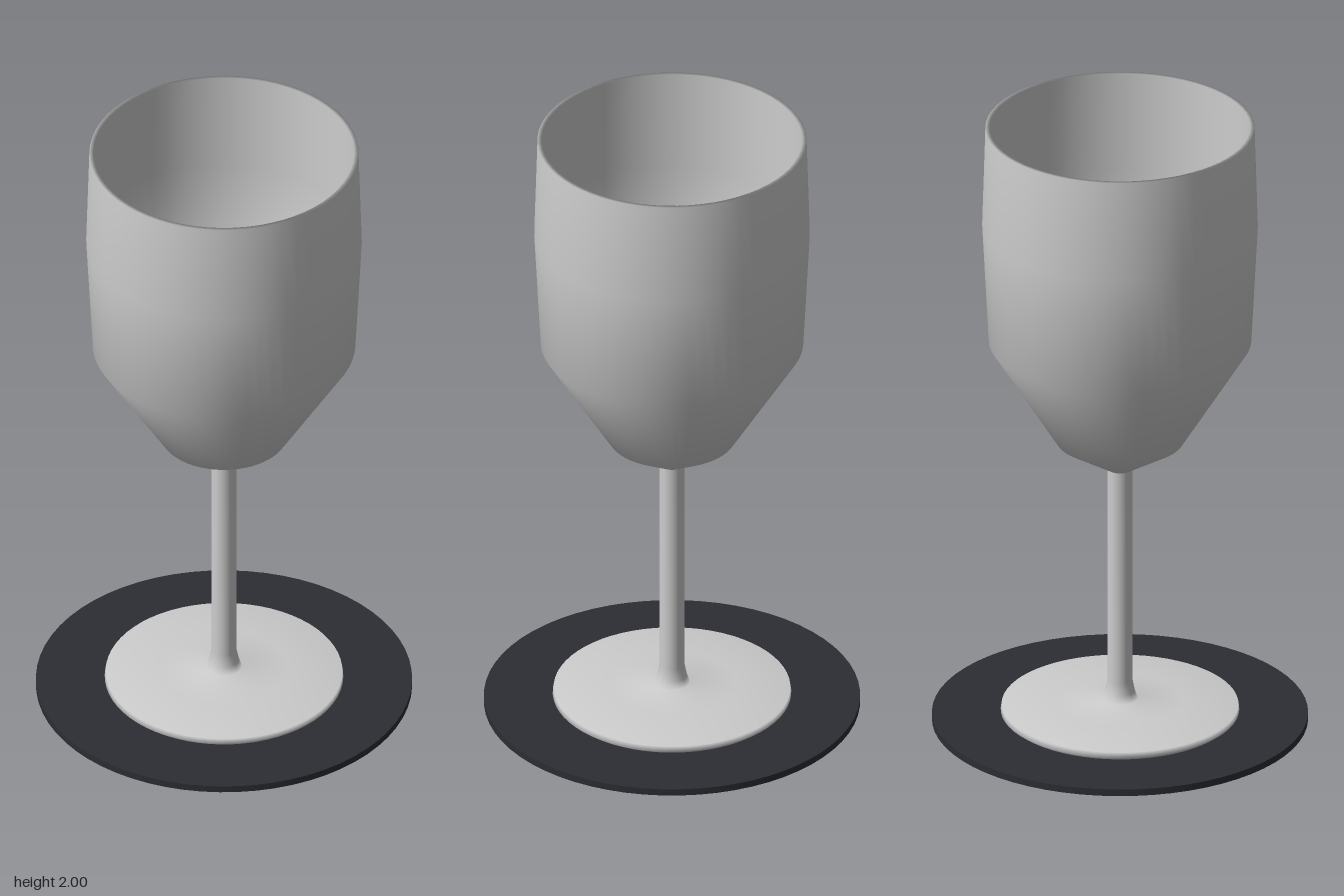
import * as THREE from 'three';

const glass = new THREE.MeshStandardMaterial({ color: 0xcccccc });
glass.name = 'clearGlass';
const wineRed = new THREE.MeshStandardMaterial({ color: 0x640e22 });
wineRed.name = 'wineRed';
const slate = new THREE.MeshStandardMaterial({ color: 0x2c2c34 });
slate.name = 'darkSlate';

// Smooth surface of revolution from [radius, height] pairs, bottom to top on the outside
function turned(name, profile, material) {
  const points = profile.map(([r, y]) => new THREE.Vector2(r, y));
  const mesh = new THREE.Mesh(new THREE.LatheGeometry(points, 64), material);
  mesh.name = name;
  return mesh;
}

export function createModel() {
  const model = new THREE.Group();
  model.name = 'wineGlass';

  // Flat round coaster
  const coaster = new THREE.Mesh(new THREE.CylinderGeometry(0.58, 0.58, 0.022, 64), slate);
  coaster.name = 'coaster';
  coaster.position.y = 0.011;
  model.add(coaster);

  // Foot flaring up into the slender stem
  model.add(turned('footAndStem', [
    [0, 0.022], [0.355, 0.022], [0.368, 0.032], [0.365, 0.05],
    [0.2, 0.061], [0.055, 0.07], [0.046, 0.095], [0.038, 0.135], [0.038, 0.86],
  ], glass));

  // Bowl: outer wall, rim, then inner wall
  model.add(turned('bowl', [
    [0.036, 0.845], [0.197, 0.945], [0.405, 1.28], [0.425, 1.67], [0.415, 2],
    [0.402, 2], [0.411, 1.67], [0.391, 1.285], [0.186, 0.955], [0, 0.865],
  ], glass));

  // Wine filling the lower bowl
  model.add(turned('wine', [
    [0, 0.875], [0.18, 0.96], [0.386, 1.285], [0.39, 1.34], [0, 1.34],
  ], wineRed));

  return model;
}
